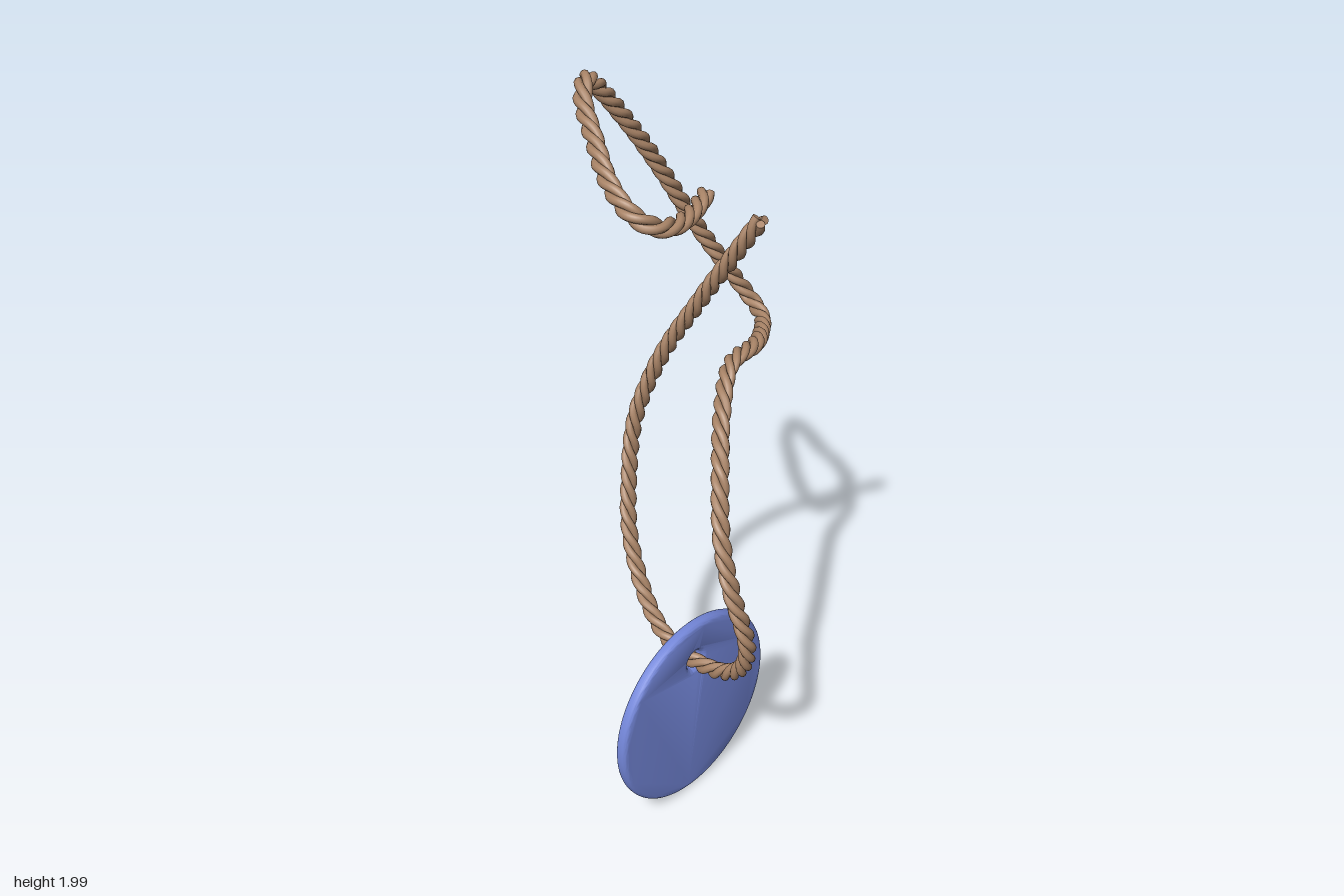
import * as THREE from 'three';
import { toCreasedNormals } from 'three/addons/utils/BufferGeometryUtils.js';

const STRANDS = 3, STRAND_RADIUS = 0.0112, STRAND_OFFSET = 0.0125, PITCH = 0.15;

// Centre line of the cord, from one loose end through the tag to the other
const PATH = [
  [-0.01, 1.745, 0], [-0.11, 1.745, 0.045], [-0.2, 1.755, 0.072], [-0.26, 1.773, 0.068],
  [-0.29, 1.8, 0.03], [-0.268, 1.84, -0.06], [-0.2, 1.9, -0.175], [-0.15, 1.95, -0.255],
  [-0.105, 1.977, -0.293], [-0.05, 1.95, -0.318], [0.1, 1.78, -0.335], [0.2, 1.635, -0.331],
  [0.3, 1.46, -0.308], [0.39, 1.3, -0.263], [0.433, 1.21, -0.222], [0.41, 1.187, -0.165],
  [0.3, 1.21, -0.075], [0.2, 1.24, -0.015], [0.06, 1.258, 0.023], [-0.05, 1.21, 0.09],
  [-0.15, 1.12, 0.17], [-0.23, 0.97, 0.245], [-0.25, 0.85, 0.295], [-0.228, 0.68, 0.33],
  [-0.2, 0.56, 0.285], [-0.18, 0.487, 0.2], [-0.168, 0.458, 0.09], [-0.155, 0.458, 0],
  [-0.13, 0.51, -0.1], [-0.08, 0.67, -0.218], [-0.024, 0.85, -0.268], [0.01, 1.0, -0.272],
  [0.043, 1.2, -0.205], [0.06, 1.4, -0.085], [0.065, 1.685, 0.108],
].map((p) => new THREE.Vector3(...p));

// Flat disc closing the end of a strand, facing along dir
function makeCap(position, dir, material) {
  const cap = new THREE.Mesh(new THREE.CircleGeometry(STRAND_RADIUS, 10), material);
  cap.position.copy(position);
  cap.lookAt(position.clone().add(dir));
  cap.name = 'strandEnd';
  return cap;
}

function makeRope(material) {
  const rope = new THREE.Group();
  rope.name = 'twistedCord';
  const centre = new THREE.CatmullRomCurve3(PATH);
  centre.arcLengthDivisions = 1500;
  const steps = 420;
  const length = centre.getLength();
  const frames = centre.computeFrenetFrames(steps, false);

  // Each strand winds around the centre line
  for (let k = 0; k < STRANDS; k++) {
    const points = [];
    for (let i = 0; i <= steps; i++) {
      const t = i / steps;
      const a = (k / STRANDS - (t * length) / PITCH) * Math.PI * 2;
      points.push(centre.getPointAt(t)
        .addScaledVector(frames.normals[i], Math.cos(a) * STRAND_OFFSET)
        .addScaledVector(frames.binormals[i], Math.sin(a) * STRAND_OFFSET));
    }
    const curve = new THREE.CatmullRomCurve3(points);
    curve.arcLengthDivisions = 1700;
    const strand = new THREE.Mesh(new THREE.TubeGeometry(curve, 850, STRAND_RADIUS, 10), material);
    strand.name = 'cordStrand';
    rope.add(strand);
    rope.add(makeCap(points[0], curve.getTangentAt(0).negate(), material));
    rope.add(makeCap(points[steps], curve.getTangentAt(1), material));
  }
  return rope;
}

// Round tag with a softened rim and a hole near its top
function makeTag(material) {
  const bevel = 0.015, depth = 0.006;
  const shape = new THREE.Shape().absarc(0, 0, 0.287 - bevel, 0, Math.PI * 2);
  shape.holes.push(new THREE.Path().absarc(0, 0.168, 0.034 + bevel * 0.7, 0, Math.PI * 2, true));
  const geometry = new THREE.ExtrudeGeometry(shape, {
    depth, bevelSize: bevel, bevelThickness: bevel, bevelSegments: 5, curveSegments: 48,
  });
  geometry.translate(0, 0, -depth / 2);
  const tag = new THREE.Mesh(toCreasedNormals(geometry, 0.6), material);
  tag.name = 'roundTag';
  tag.position.set(-0.17, 0.293, 0.087);
  return tag;
}

export function createModel() {
  const cordBrown = new THREE.MeshStandardMaterial({ color: 0xa98467 });
  cordBrown.name = 'cord brown';
  const tagBlue = new THREE.MeshStandardMaterial({ color: 0x7386d8 });
  tagBlue.name = 'tag blue';

  const model = new THREE.Group();
  model.name = 'tagOnCord';
  model.add(makeRope(cordBrown), makeTag(tagBlue));
  return model;
}
